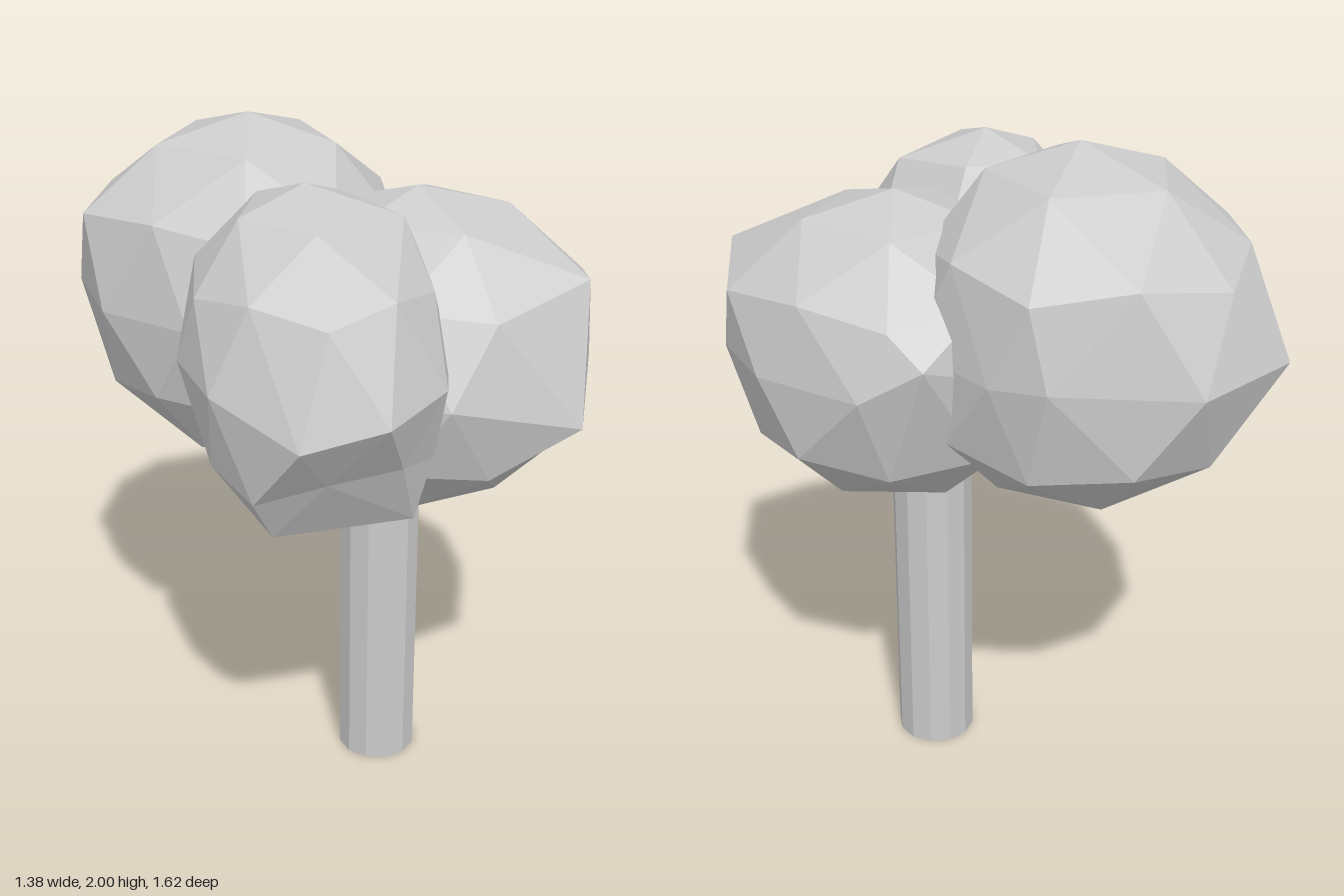
import * as THREE from 'three';

const material = new THREE.MeshStandardMaterial({ color: 0xcccccc, flatShading: true });

// Move the corner nearest to the target onto it, in every face that shares it.
function pullCorner(position, target) {
  const corner = new THREE.Vector3();
  const nearest = new THREE.Vector3(Infinity, 0, 0);
  for (let i = 0; i < position.count; i++) {
    corner.fromBufferAttribute(position, i);
    if (corner.distanceTo(target) < nearest.distanceTo(target)) nearest.copy(corner);
  }
  for (let i = 0; i < position.count; i++) {
    corner.fromBufferAttribute(position, i);
    if (corner.distanceTo(nearest) < 1e-4) position.setXYZ(i, target.x, target.y, target.z);
  }
}

// Faceted leaf ball with a vertex at its pole; turn is in degrees about y.
// lean slides the poles apart along z, bow slides both the same way,
// and pulls are points onto which single corners are moved.
function leafBall({ name, center, radii, turn, lean = 0, bow = 0, pulls }) {
  const geometry = new THREE.IcosahedronGeometry(1, 1);
  geometry.rotateX(-Math.atan((1 + Math.sqrt(5)) / 2));
  geometry.rotateY(THREE.MathUtils.degToRad(90 - turn));
  geometry.scale(...radii);
  const p = geometry.attributes.position;
  for (let i = 0; i < p.count; i++) {
    const h = p.getY(i) / radii[1];
    p.setZ(i, p.getZ(i) + lean * h + bow * h * h);
  }
  geometry.translate(...center);
  for (const point of pulls) pullCorner(p, new THREE.Vector3(...point));
  geometry.computeVertexNormals();
  const mesh = new THREE.Mesh(geometry, material);
  mesh.name = name;
  return mesh;
}

export function createModel() {
  const tree = new THREE.Group();
  tree.name = 'tree';

  // Straight trunk, running up into the foliage
  const trunk = new THREE.Mesh(new THREE.CylinderGeometry(0.122, 0.122, 1.2, 12), material);
  trunk.name = 'trunk';
  trunk.position.set(0.123, 0.6, 0.08);
  tree.add(trunk);

  // Three overlapping, slightly uneven balls of foliage
  const balls = [
    {
      name: 'backFoliage', center: [-0.2, 1.485, -0.3], radii: [0.5, 0.515, 0.51], turn: 29, bow: 0.09,
      pulls: [[-0.68, 1.74, -0.2], [-0.57, 1.5, -0.71], [0.1, 1.5, -0.65], [0.2, 1.48, -0.51]],
    },
    {
      name: 'leftFoliage', center: [0.22, 1.38, 0.1], radii: [0.48, 0.46, 0.5], turn: 6, lean: -0.02,
      pulls: [
        [0.69, 1.59, 0.15], [0.6, 1.65, 0.42], [0.55, 1.28, 0.56], [0.68, 1.38, 0.27],
        [0.67, 1.4, -0.03], [0.48, 1.4, -0.31], [0.33, 1.5, -0.4], [0.48, 1.78, 0.1],
      ],
    },
    {
      name: 'frontFoliage', center: [-0.145, 1.485, 0.38], radii: [0.355, 0.437, 0.435], turn: 25, lean: -0.09,
      pulls: [
        [-0.05, 1.45, 0.81], [-0.27, 1.4, 0.79], [0.14, 1.47, 0.65],
        [-0.18, 1.26, 0.69], [0.02, 1.28, 0.68], [-0.36, 1.2, 0.64],
        [0.08, 1.08, 0.58], [-0.3, 1.07, 0.58], [0.19, 1.28, 0.42],
        [0.18, 1.68, 0.3], [0.1, 1.84, 0.36],
      ],
    },
  ];
  for (const ball of balls) tree.add(leafBall(ball));

  return tree;
}
